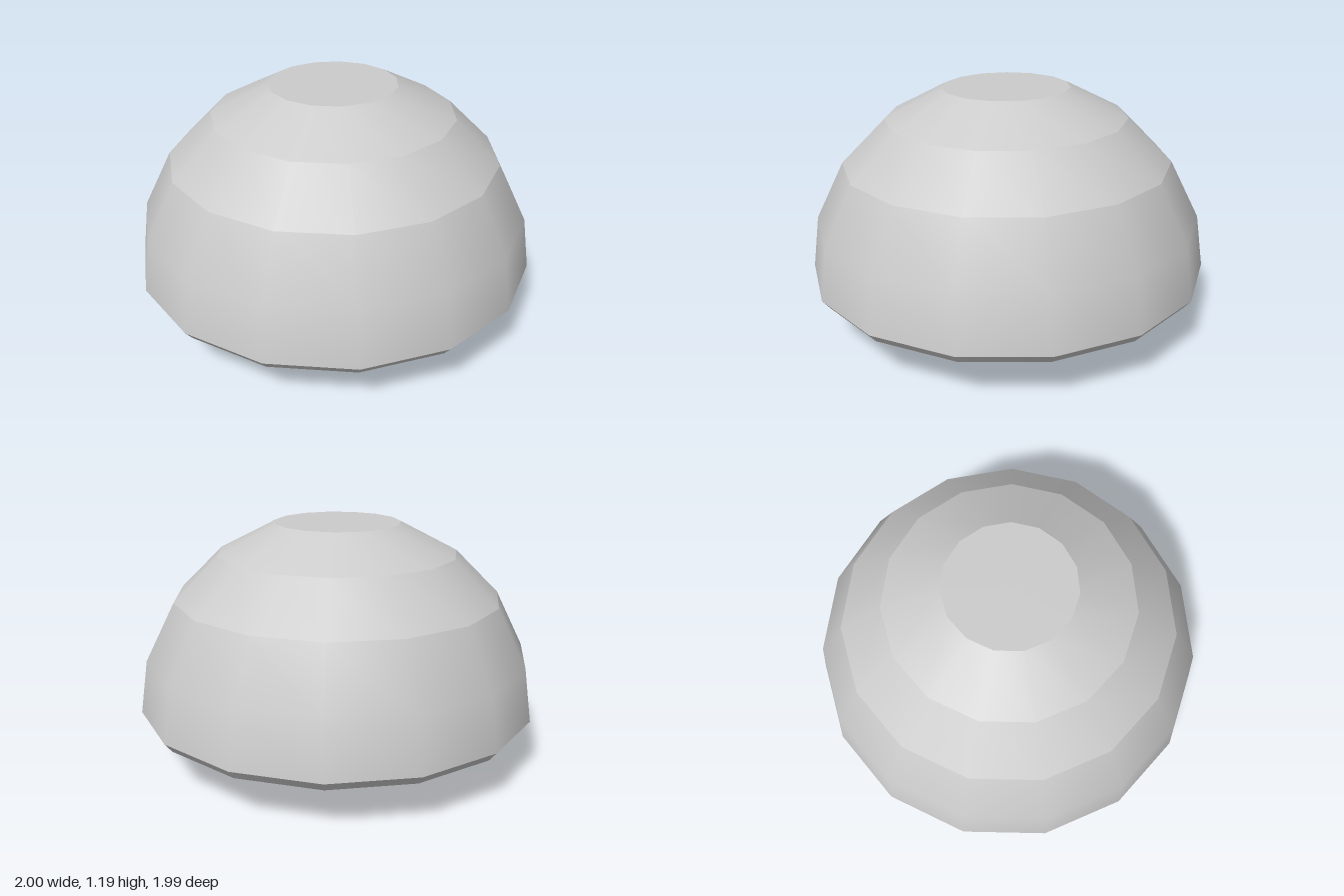
import * as THREE from 'three';

const SIDES = 15;

function lathe(profile, sides, start = Math.PI) {
  return new THREE.LatheGeometry(profile.map(([r, y]) => new THREE.Vector2(r, y)), sides, start);
}

function addMesh(parent, name, geometry, material) {
  const mesh = new THREE.Mesh(geometry, material);
  mesh.name = name;
  parent.add(mesh);
  return mesh;
}

export function createModel() {
  const model = new THREE.Group();
  model.name = 'filledDome';
  const smooth = new THREE.MeshStandardMaterial({ color: 0xcccccc });
  const faceted = new THREE.MeshStandardMaterial({ color: 0xcccccc, flatShading: true });

  // Dome shell, very slightly tilted; each band is smooth around, creased to the next
  const shell = new THREE.Group();
  shell.name = 'domeShell';
  shell.rotation.set(0.006, 0, 0.006);
  shell.position.z = 0.008;
  model.add(shell);
  const bands = {
    rimChamfer: [[0.968, 0.228], [1.005, 0.275]],
    domeWall: [[1.005, 0.275], [0.965, 0.54], [0.82, 0.825]],
    domeShoulder: [[0.82, 0.825], [0.6, 1.043]],
    domeCrown: [[0.6, 1.043], [0.315, 1.19]],
    domeCap: [[0.315, 1.19], [0, 1.19]],
  };
  for (const [name, profile] of Object.entries(bands)) {
    addMesh(shell, name, lathe(profile, SIDES), smooth);
  }

  // Hollow underside: flat lip, inner wall, and a bevelled filling set back inside it
  addMesh(shell, 'rimLip', lathe([[0.91, 0.228], [0.968, 0.228]], SIDES), faceted);
  addMesh(shell, 'innerWall', lathe([[0.85, 0.4], [0.91, 0.228]], SIDES), smooth);
  addMesh(shell, 'filling', lathe([[0, 0.3], [0.72, 0.3], [0.85, 0.4]], SIDES), faceted);

  // Faceted lumps with flattened bottoms hanging out of the filling
  const frontLump = addMesh(model, 'frontLump',
    lathe([[0, 0], [0.3, 0], [0.56, 0.215], [0.66, 0.43], [0.3, 0.8], [0, 0.8]], 9), faceted);
  frontLump.position.set(-0.13, 0.018, 0.15);
  frontLump.rotation.set(0.04, 0, 0.04);
  frontLump.scale.z = 0.92;

  const backLump = addMesh(model, 'backLump',
    lathe([[0, 0], [0.33, 0], [0.46, 0.07], [0.47, 0.25], [0.3, 0.5], [0, 0.5]], 9), faceted);
  backLump.position.set(0.3, 0.185, -0.36);
  backLump.rotation.set(0.09, 0.3, 0.01);

  return model;
}
